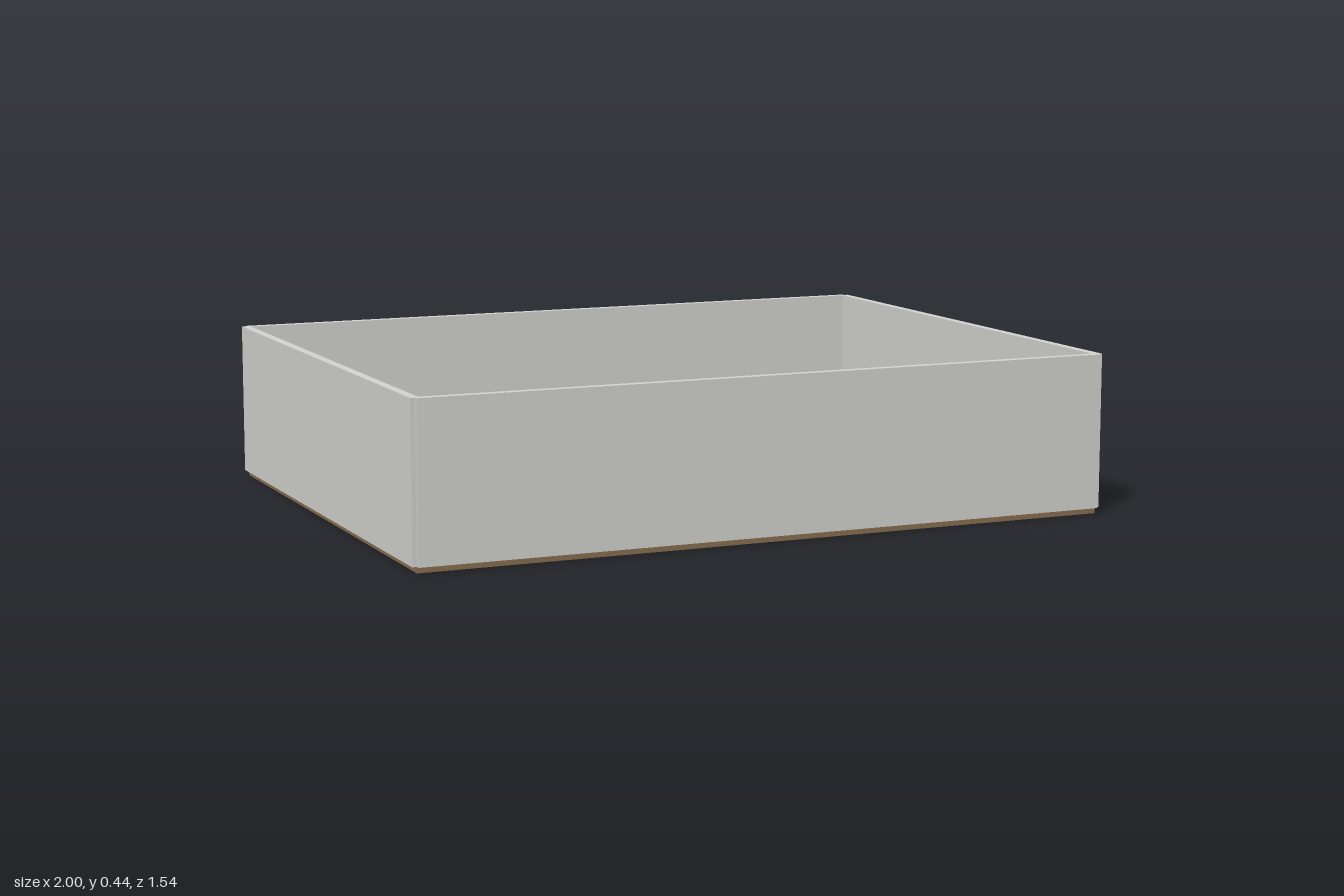
import * as THREE from 'three';

const material = (name, color) => {
  const m = new THREE.MeshStandardMaterial({ color });
  m.name = name;
  return m;
};

export function createModel() {
  const wallGrey = material('wallGrey', 0xd6d6d3);
  const floorBrown = material('floorBrown', 0x8a7052);
  const deskGrey = material('deskGrey', 0xd8d9d8);
  const darkMetal = material('darkMetal', 0x23262d);
  const chairBlue = material('chairBlue', 0x107cd0);
  const cabinetSlate = material('cabinetSlate', 0x383e49);
  const plantGreen = material('plantGreen', 0x439c58);

  const room = new THREE.Group();
  room.name = 'office';

  // Box given by its size, with the underside at y
  const box = (parent, name, mat, w, h, d, x, y, z) => {
    const mesh = new THREE.Mesh(new THREE.BoxGeometry(w, h, d), mat);
    mesh.name = name;
    mesh.position.set(x, y + h / 2, z);
    parent.add(mesh);
  };

  const floorTop = 0.0165;
  const halfX = 0.9877, halfZ = 0.7575;
  const wallThick = 0.0247, wallHigh = 0.428;

  // Floor slab and four walls centred on its edges
  box(room, 'floor', floorBrown, halfX * 2, floorTop, halfZ * 2, 0, 0, 0);
  box(room, 'frontWall', wallGrey, halfX * 2, wallHigh, wallThick, 0, floorTop, halfZ);
  box(room, 'backWall', wallGrey, halfX * 2, wallHigh, wallThick, 0, floorTop, -halfZ);
  box(room, 'leftWall', wallGrey, wallThick, wallHigh, halfZ * 2, halfX, floorTop, 0);
  box(room, 'rightWall', wallGrey, wallThick, wallHigh, halfZ * 2, -halfX, floorTop, 0);

  // Workstation: desk, legs, monitor and chair around the desk centre
  const deskW = 0.241, deskD = 0.118, deskTop = 0.1235, topThick = 0.009, leg = 0.01;
  const workstation = (x, z) => {
    const g = new THREE.Group();
    g.name = 'workstation';
    g.position.set(x, floorTop, z);
    box(g, 'deskTop', deskGrey, deskW, topThick, deskD, 0, deskTop - topThick, 0);
    for (const sx of [-1, 1]) {
      for (const sz of [-1, 1]) {
        box(g, 'deskLeg', darkMetal, leg, deskTop - topThick, leg,
          sx * (deskW / 2 - 0.01), 0, sz * (deskD / 2 - 0.01));
      }
    }
    box(g, 'monitor', darkMetal, 0.086, 0.056, 0.01, 0, deskTop + 0.004, -0.029);
    box(g, 'chair', chairBlue, 0.07, 0.073, 0.068, 0, 0, 0.116);
    room.add(g);
  };
  for (const z of [-0.187, 0.241]) {
    for (const x of [-0.486, 0, 0.486]) workstation(x, z);
  }

  // Corner furniture
  box(room, 'cabinet', cabinetSlate, 0.182, 0.147, 0.075, -0.853, floorTop, -0.674);
  box(room, 'greenLocker', plantGreen, 0.07, 0.165, 0.074, 0.882, floorTop, 0.652);

  return room;
}
